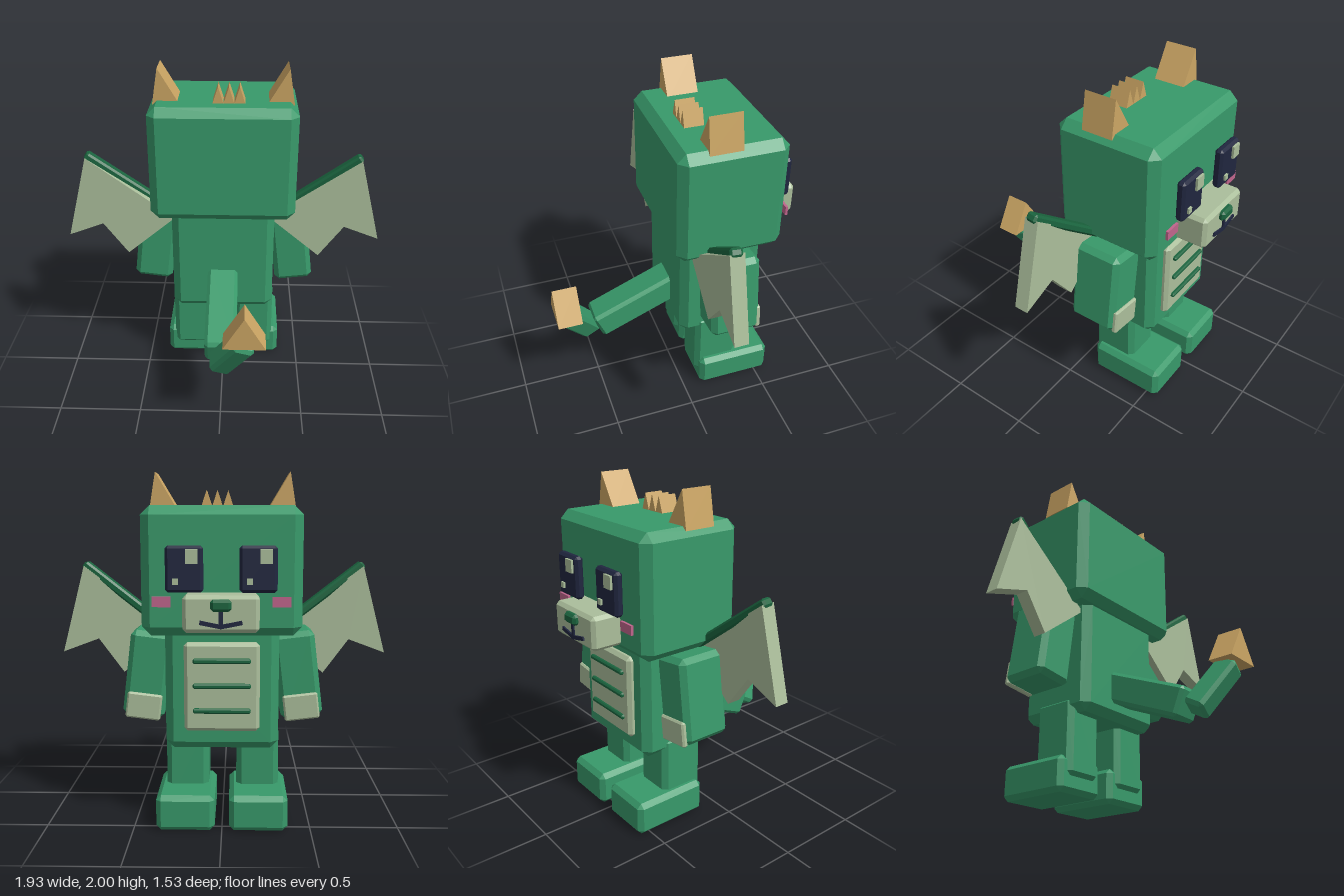
import * as THREE from 'three';
import { ConvexGeometry } from 'three/addons/geometries/ConvexGeometry.js';

const mat = (name, color) => {
  const m = new THREE.MeshStandardMaterial({ color });
  m.name = name;
  return m;
};

// Box with every edge cut at 45 degrees
function chamferBox(w, h, d, c) {
  const pts = [], x = w / 2, y = h / 2, z = d / 2;
  for (const i of [-1, 1]) for (const j of [-1, 1]) for (const k of [-1, 1]) {
    pts.push(
      new THREE.Vector3(i * x, j * (y - c), k * (z - c)),
      new THREE.Vector3(i * (x - c), j * y, k * (z - c)),
      new THREE.Vector3(i * (x - c), j * (y - c), k * z));
  }
  return new ConvexGeometry(pts);
}

// Flat outline extruded from z0 to z1
function prism(points, z0, z1) {
  const shape = new THREE.Shape(points.map(([x, y]) => new THREE.Vector2(x, y)));
  const g = new THREE.ExtrudeGeometry(shape, { depth: z1 - z0, bevelEnabled: false });
  return g.translate(0, 0, z0);
}

export function createModel() {
  const root = new THREE.Group();
  root.name = 'dragon';
  const green = mat('scale green', 0x38996a);
  const dark = mat('dark green', 0x1b653f);
  const cream = mat('pale cream green', 0xabbe9b);
  const gold = mat('horn gold', 0xcca664);
  const navy = mat('eye navy', 0x20263f);
  const pink = mat('blush pink', 0xc0658c);

  const add = (name, geo, material, x = 0, y = 0, z = 0, parent = root) => {
    const m = new THREE.Mesh(geo, material);
    m.name = name;
    m.position.set(x, y, z);
    parent.add(m);
    return m;
  };
  const box = (w, h, d) => new THREE.BoxGeometry(w, h, d);

  // Head and body
  add('head', chamferBox(0.875, 0.7, 0.64, 0.05), green, 0, 1.46, -0.24);
  add('body', chamferBox(0.635, 0.7, 0.505, 0.045), green, 0, 0.805, -0.237);
  add('belly', chamferBox(0.42, 0.5, 0.06, 0.02), cream, 0, 0.82, -0.495);
  for (const y of [0.69, 0.83, 0.97])
    add('bellyStripe', chamferBox(0.32, 0.028, 0.04, 0.008), dark, 0, y, -0.525);

  // Muzzle, nose and mouth
  add('muzzle', chamferBox(0.4, 0.195, 0.2, 0.02), cream, 0, 1.253, -0.635);
  add('nose', chamferBox(0.11, 0.062, 0.07, 0.015), dark, 0, 1.3, -0.73);
  add('mouthLine', box(0.022, 0.07, 0.012), navy, 0, 1.235, -0.738);
  for (const s of [-1, 1])
    add('mouthCurve', box(0.115, 0.022, 0.012), navy, s * 0.054, 1.2, -0.739).rotation.z = s * 0.2;

  // Eyes with glints on the same side
  for (const s of [-1, 1]) {
    const x = s * 0.195;
    add('eye', chamferBox(0.2, 0.245, 0.052, 0.015), navy, x, 1.478, -0.62);
    add('eyeGlint', box(0.065, 0.075, 0.02), cream, x - 0.04, 1.545, -0.65);
    add('smallGlint', box(0.03, 0.032, 0.02), cream, x + 0.045, 1.415, -0.648);
    add('cheek', box(0.1, 0.055, 0.015), pink, s * 0.32, 1.303, -0.6);
  }

  // Horns and head crest
  for (const s of [-1, 1]) {
    const pts = [[-0.415, 1.788], [-0.255, 1.79], [-0.38, 2]].map(([x, y]) => [-s * x, y]);
    add('horn', prism(pts, -0.28, -0.09), gold);
  }
  for (const x of [-0.03, 0.033, 0.096])
    add('crestSpike', prism([[x - 0.034, 1.8], [x + 0.034, 1.8], [x, 1.905]], -0.168, -0.052), gold);

  for (const s of [-1, 1]) {
    // Arm with a pale hand pad
    const arm = new THREE.Group();
    arm.name = 'arm';
    arm.position.set(s * 0.428, 0.86, -0.24);
    arm.rotation.z = s * 0.12;
    root.add(arm);
    add('sleeve', chamferBox(0.24, 0.5, 0.3, 0.03), green, 0, 0, 0, arm);
    add('handPad', chamferBox(0.2, 0.15, 0.035, 0.01), cream, 0, -0.18, -0.148, arm);

    // Leg and foot
    add('leg', chamferBox(0.245, 0.46, 0.28, 0.03), green, s * 0.203, 0.32, -0.225);
    add('foot', chamferBox(0.33, 0.205, 0.47, 0.028), green, s * 0.205, 0.105, -0.343);

    // Wing membrane and bone
    const outline = [[0.3, 1.075], [0.6, 0.825], [0.75, 1.03], [0.965, 0.95], [0.83, 1.465]];
    add('wingMembrane', prism(outline.map(([x, y]) => [s * x, y]), -0.126, -0.042), cream);
    const a = new THREE.Vector3(s * 0.25, 1.035, -0.145), b = new THREE.Vector3(s * 0.83, 1.477, -0.08);
    const bone = add('wingBone', chamferBox(0.05, 0.07, a.distanceTo(b), 0.012), dark);
    bone.position.copy(a).lerp(b, 0.5);
    bone.lookAt(b);
    bone.rotateZ(Math.PI / 2);
  }

  // Tail: base, upturned end and spike
  add('tailBase', chamferBox(0.19, 0.18, 0.6, 0.02), green, 0, 0.56, 0.215).rotation.x = 0.393;
  add('tailEnd', chamferBox(0.135, 0.35, 0.135, 0.02), green, 0.068, 0.543, 0.61).rotation.set(0.51, 0, -0.45);
  add('tailSpike', prism([[0.02, 0.683], [0.26, 0.683], [0.14, 0.882]], 0.62, 0.767), gold);

  return root;
}
